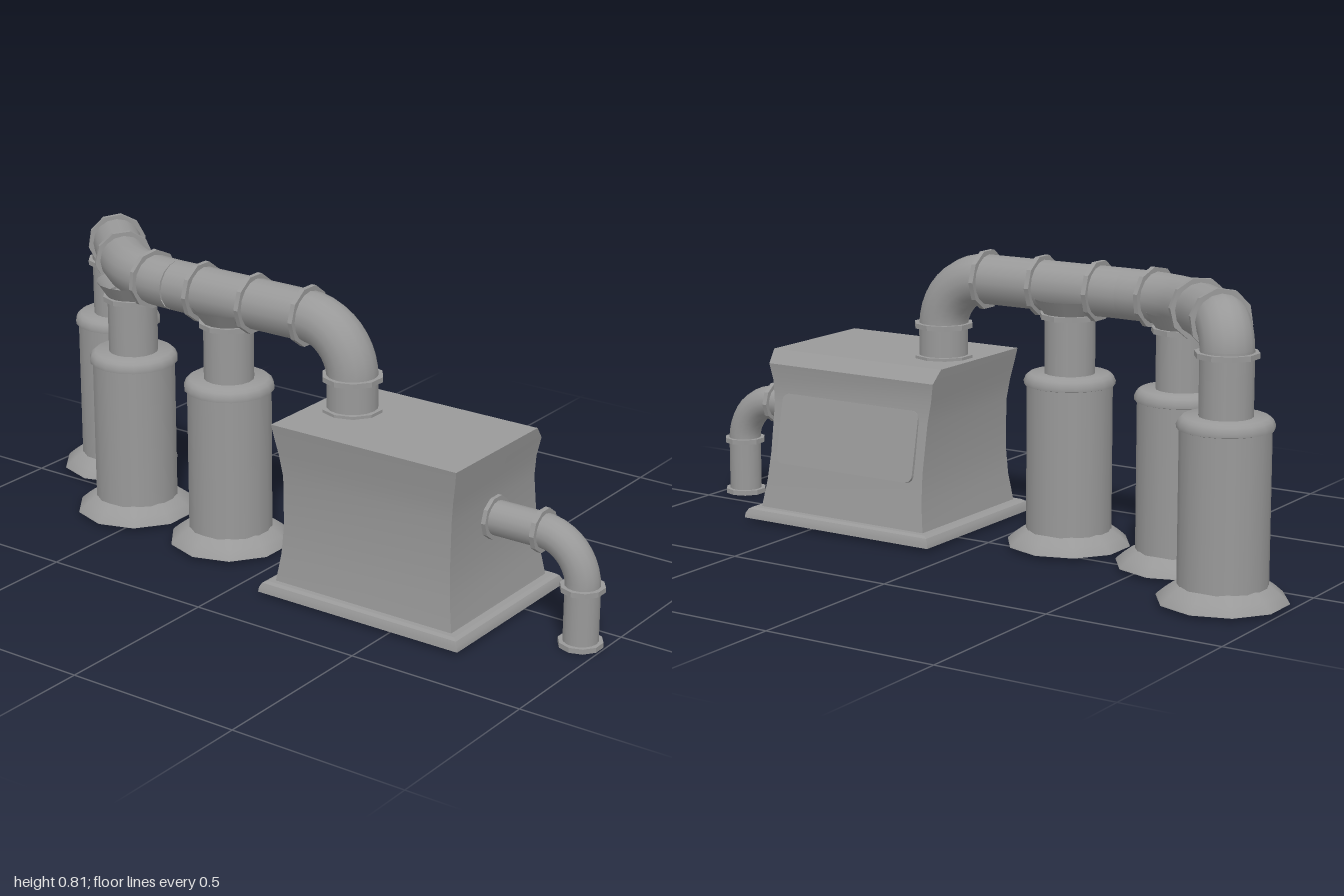
import * as THREE from 'three';
import { toCreasedNormals } from 'three/addons/utils/BufferGeometryUtils.js';

const V = (x, y, z) => new THREE.Vector3(x, y, z);

export function createModel() {
  const model = new THREE.Group();
  const steel = new THREE.MeshStandardMaterial({ color: 0x999999 });
  steel.name = 'grey steel';
  const pipeSteel = steel.clone();
  pipeSteel.name = 'grey pipe steel';
  pipeSteel.side = THREE.DoubleSide;

  function add(name, geometry, parent = model, material = steel) {
    const mesh = new THREE.Mesh(geometry, material);
    mesh.name = name;
    parent.add(mesh);
    return mesh;
  }
  const tube = (name, curve, r, steps) =>
    add(name, new THREE.TubeGeometry(curve, steps, r, 16, false), model, pipeSteel);
  const pipe = (name, a, b, r) => tube(name, new THREE.LineCurve3(a, b), r, 1);
  // quarter bend around a corner point
  const elbow = (name, a, corner, b, r) => tube(name, new THREE.CubicBezierCurve3(
    a, a.clone().lerp(corner, 0.55), b.clone().lerp(corner, 0.55), b), r, 10);
  // ten-sided flange facing along dir
  function flange(at, dir, r, thick = 0.014) {
    const geometry = new THREE.CylinderGeometry(r, r, thick, 10);
    const mesh = add('flange', toCreasedNormals(geometry, 0.5));
    mesh.position.copy(at);
    mesh.quaternion.setFromUnitVectors(V(0, 1, 0), dir.clone().normalize());
  }
  const lathe = (points, sides) => toCreasedNormals(
    new THREE.LatheGeometry(points.map(p => new THREE.Vector2(...p)), sides), 0.7);
  // closed stack of rectangles: [y, half width, front z, back z]
  function loft(rows, cx) {
    const pos = [];
    const index = [];
    for (const [y, h, f, b] of rows)
      pos.push(cx - h, y, f, cx + h, y, f, cx + h, y, b, cx - h, y, b);
    for (let i = 0; i < rows.length - 1; i++) {
      for (let k = 0; k < 4; k++) {
        const a = i * 4 + k, b = i * 4 + (k + 1) % 4;
        index.push(a, b, b + 4, a, b + 4, a + 4);
      }
    }
    const t = (rows.length - 1) * 4;
    index.push(0, 2, 1, 0, 3, 2, t, t + 1, t + 2, t, t + 2, t + 3);
    const geometry = new THREE.BufferGeometry();
    geometry.setAttribute('position', new THREE.Float32BufferAttribute(pos, 3));
    geometry.setIndex(index);
    return toCreasedNormals(geometry, 0.45);
  }

  const R = 0.07, RF = 0.084, Y = 0.722;
  const UP = V(0, 1, 0), ALONG = V(1, 0, 0);

  // three tanks with flared feet, rounded caps and necks
  for (const [x, z, tee] of [[-0.825, -0.17, false], [-0.565, 0.07, true], [-0.203, 0.095, true]]) {
    const tank = new THREE.Group();
    tank.name = 'tank';
    tank.position.set(x, 0, z);
    model.add(tank);
    add('tankFoot', lathe([[0, 0.01], [0.174, 0.01], [0.172, 0.014], [0.15, 0.033],
      [0.128, 0.049], [0.114, 0.055]], 10), tank);
    add('tankBody', new THREE.CylinderGeometry(0.118, 0.118, 0.41, 18, 1, true)
      .translate(0, 0.255, 0), tank);
    add('tankCap', lathe([[0.115, 0.455], [0.125, 0.458], [0.126, 0.468], [0.12, 0.482],
      [0.11, 0.489], [0, 0.489]], 18), tank);
    pipe('tankNeck', V(x, 0.48, z), V(x, 0.66, z), R);
    flange(V(x, 0.647, z), UP, RF);
    // flared branch into the main pipe
    if (tee) add('teeBranch', new THREE.CylinderGeometry(0.1, R, 0.045, 16, 1, true)
      .translate(0, 0.6725, 0), tank, pipeSteel);
  }

  // main pipe: bend down to the machine, straight run, sweep back, bend to the last tank
  elbow('machineElbow', V(0.07, Y, 0.1), V(0.216, Y, 0.1), V(0.216, 0.576, 0.1), R);
  pipe('machineInlet', V(0.216, 0.58, 0.1), V(0.216, 0.48, 0.1), R);
  pipe('mainPipe', V(0.07, Y, 0.1), V(-0.38, Y, 0.098), R);
  const sweep = new THREE.CatmullRomCurve3([V(-0.38, Y, 0.098), V(-0.47, Y, 0.09),
    V(-0.565, Y, 0.058), V(-0.655, Y, -0.005), V(-0.725, Y, -0.07), V(-0.782, Y, -0.125)]);
  tube('sweepingPipe', sweep, R, 20);
  elbow('tankElbow', V(-0.782, Y, -0.125), V(-0.825, Y, -0.17), V(-0.825, 0.65, -0.17), R);

  for (const x of [0.07, -0.11, -0.29]) flange(V(x, Y, 0.1), ALONG, RF);
  flange(V(-0.47, Y, 0.09), V(1, 0, 0.2), RF);
  flange(V(-0.655, Y, -0.005), V(1, 0, 0.85), RF);
  flange(V(-0.782, Y, -0.125), V(1, 0, 1), RF);
  flange(V(0.216, 0.581, 0.1), UP, RF);
  flange(V(0.216, 0.49, 0.1), UP, RF);

  // machine housing with a pinched waist on a stepped plinth
  add('housing', loft([[0.035, 0.281, 0.316, -0.15], [0.12, 0.268, 0.306, -0.136],
    [0.2, 0.263, 0.301, -0.123], [0.34, 0.265, 0.301, -0.1], [0.4, 0.273, 0.308, -0.094],
    [0.452, 0.283, 0.316, -0.1], [0.489, 0.289, 0.322, -0.068]], 0.4));
  add('plinth', loft([[0.01, 0.318, 0.345, -0.182], [0.024, 0.316, 0.343, -0.18],
    [0.036, 0.309, 0.338, -0.174], [0.042, 0.298, 0.33, -0.166]], 0.4));

  // rounded access panel on the sloping back
  const w = 0.235, h = 0.1, c = 0.022;
  const shape = new THREE.Shape();
  shape.absarc(w - c, h - c, c, 0, Math.PI / 2);
  shape.absarc(c - w, h - c, c, Math.PI / 2, Math.PI);
  shape.absarc(c - w, c - h, c, Math.PI, Math.PI * 1.5);
  shape.absarc(w - c, c - h, c, Math.PI * 1.5, Math.PI * 2);
  const panel = add('backPanel', new THREE.ExtrudeGeometry(shape,
    { depth: 0.009, bevelEnabled: false, curveSegments: 4 }));
  panel.position.set(0.4, 0.2725, -0.119);
  panel.rotation.x = 0.2;

  // thin outlet pipe bending down to the ground
  const r = 0.047, rf = 0.06, y = 0.29, xo = 0.937;
  pipe('outletPipe', V(0.64, y, 0.1), V(0.82, y, 0.1), r);
  elbow('outletElbow', V(0.815, y, 0.1), V(xo, y, 0.1), V(xo, 0.165, 0.1), r);
  pipe('outletDrop', V(xo, 0.17, 0.1), V(xo, 0.005, 0.1), r);
  flange(V(0.67, y, 0.1), ALONG, rf);
  flange(V(0.815, y, 0.1), ALONG, rf);
  flange(V(xo, 0.162, 0.1), UP, rf);
  flange(V(xo, 0.007, 0.1), UP, rf);

  return model;
}
